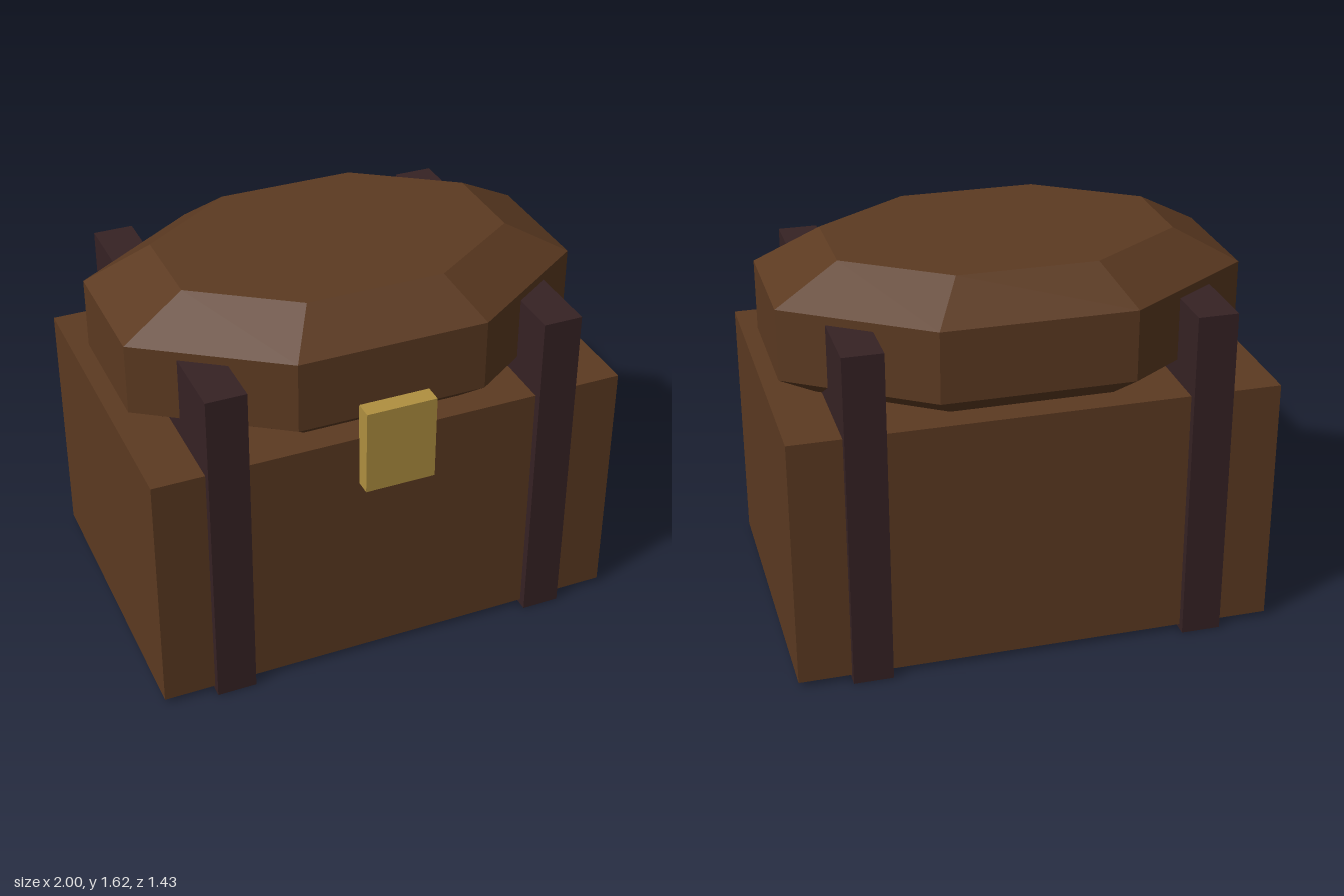
import * as THREE from 'three';

const wood = new THREE.MeshStandardMaterial({ name: 'brown wood', color: 0x5c3a21, flatShading: true });
const leather = new THREE.MeshStandardMaterial({ name: 'dark strap', color: 0x362224, flatShading: true });
const brass = new THREE.MeshStandardMaterial({ name: 'brass', color: 0xb09040, flatShading: true });

// Box given by its minimum and maximum corners
function box(name, material, min, max) {
  const size = max.map((v, i) => v - min[i]);
  const mesh = new THREE.Mesh(new THREE.BoxGeometry(...size), material);
  mesh.position.set(...max.map((v, i) => (v + min[i]) / 2));
  mesh.name = name;
  return mesh;
}

// Stretched octagonal lid, bevelled above and below its upright band
function createLid() {
  const outer = 1 / Math.cos(Math.PI / 8);
  const inner = 0.7235 * outer;
  const profile = [[0, 1.02], [inner, 1.02], [outer, 1.17], [outer, 1.47], [inner, 1.618], [0, 1.618]]
    .map(([r, y]) => new THREE.Vector2(r, y));
  const geometry = new THREE.LatheGeometry(profile, 8, Math.PI / 8);
  geometry.scale(0.955, 1, 0.646);
  geometry.computeVertexNormals();
  const lid = new THREE.Mesh(geometry, wood);
  lid.position.z = -0.018;
  lid.name = 'lid';
  return lid;
}

export function createModel() {
  const chest = new THREE.Group();
  chest.name = 'chest';
  chest.add(box('body', wood, [-1, 0.022, -0.683], [1, 1.085, 0.648]));
  chest.add(createLid());

  // Upright straps running through the whole depth
  chest.add(box('leftStrap', leather, [0.618, 0, -0.716], [0.782, 1.435, 0.683]));
  chest.add(box('rightStrap', leather, [-0.784, 0, -0.716], [-0.618, 1.435, 0.683]));

  // Clasp on the front
  chest.add(box('clasp', brass, [-0.15, 0.872, 0.64], [0.146, 1.237, 0.716]));
  return chest;
}
